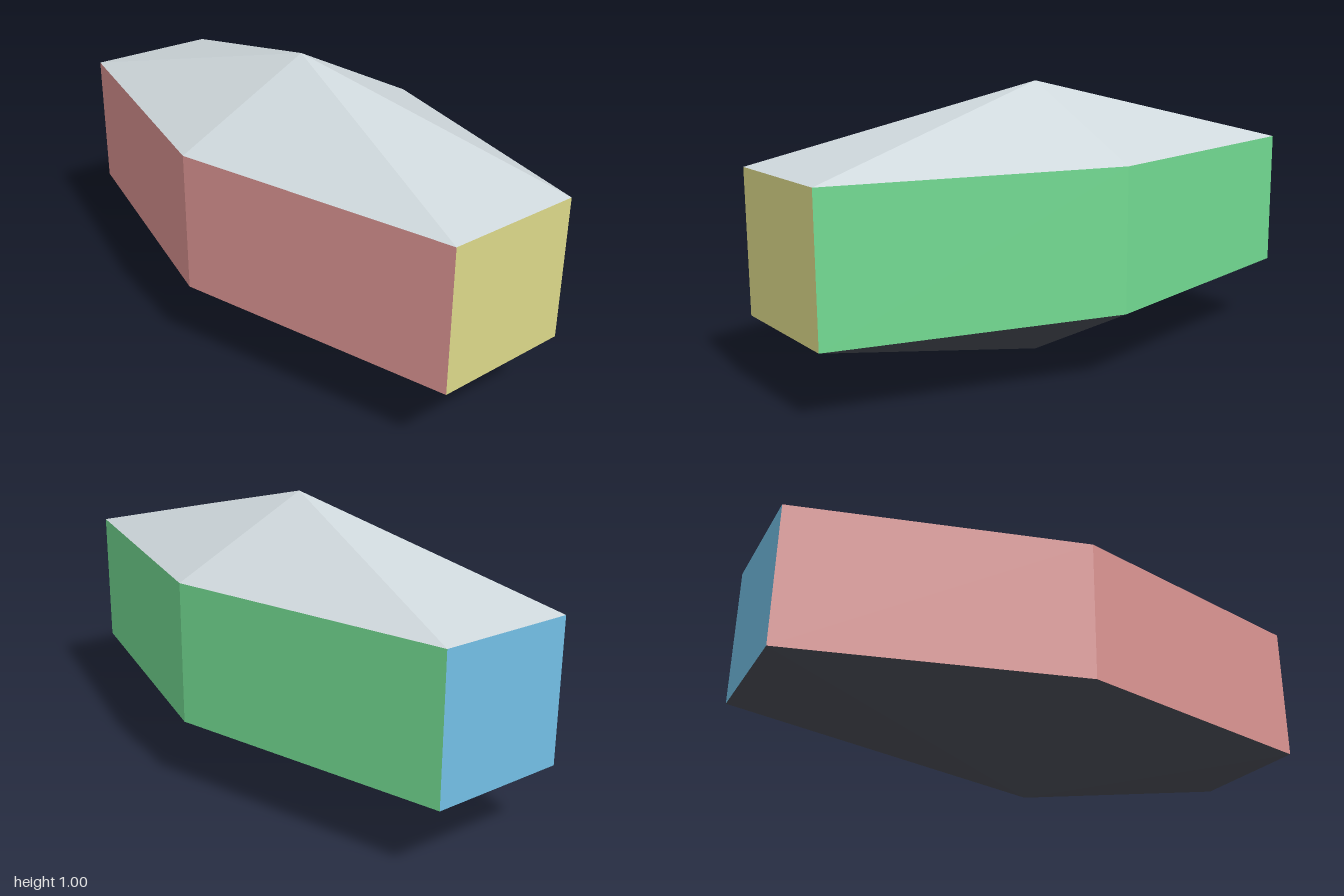
import * as THREE from 'three';

const material = (name, color) => {
  const m = new THREE.MeshStandardMaterial({ color });
  m.name = name;
  return m;
};

// Flat-faced mesh from a list of convex polygons (corners counterclockwise from outside)
function facets(name, polygons, mat) {
  const points = [];
  for (const p of polygons) {
    for (let i = 1; i < p.length - 1; i++) points.push(p[0], p[i], p[i + 1]);
  }
  const geometry = new THREE.BufferGeometry().setFromPoints(points);
  geometry.computeVertexNormals();
  const mesh = new THREE.Mesh(geometry, mat);
  mesh.name = name;
  return mesh;
}

export function createModel() {
  const group = new THREE.Group();
  group.name = 'hexagonalBipyramidPrism';

  // Stretched hexagon, starting at the front edge
  const outline = [[-0.25, 1], [0.25, 1], [0.5, 0], [0.25, -1], [-0.25, -1], [-0.5, 0]];
  const ring = (y) => outline.map(([x, z]) => new THREE.Vector3(x, y, z));
  const low = ring(0.25), high = ring(0.75);
  const next = (i) => (i + 1) % outline.length;
  const wall = (i) => [low[i], low[next(i)], high[next(i)], high[i]];

  // Walls of the prism
  group.add(
    facets('frontWall', [wall(0)], material('yellow', 0xdcd889)),
    facets('leftWalls', [wall(1), wall(2)], material('green', 0x73db92)),
    facets('backWall', [wall(3)], material('blue', 0x73c0e6)),
    facets('rightWalls', [wall(4), wall(5)], material('red', 0xdc9593)),
  );

  // Pyramids above and below
  const top = new THREE.Vector3(0, 1, 0), bottom = new THREE.Vector3(0, 0, 0);
  group.add(
    facets('topPyramid', high.map((p, i) => [p, high[next(i)], top]), material('lightGrey', 0xcfd8dc)),
    facets('bottomPyramid', low.map((p, i) => [low[next(i)], p, bottom]), material('darkGrey', 0x4a4d57)),
  );
  return group;
}
